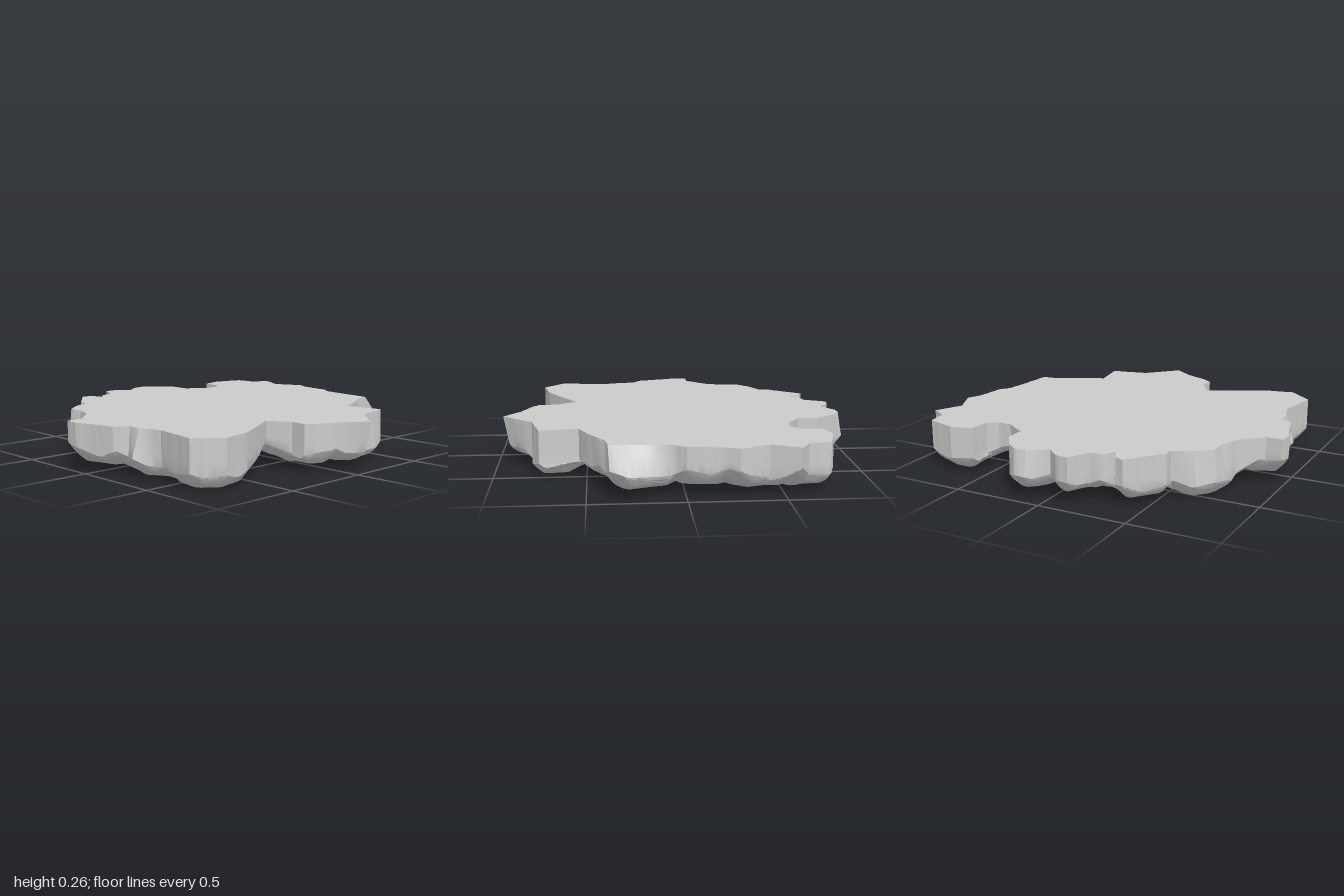
import * as THREE from 'three';
import { mergeVertices, toCreasedNormals } from 'three/addons/utils/BufferGeometryUtils.js';

const TOP = 0.27;

// Outline of the flat top as x, z pairs, clockwise from above
const OUTLINE = [
  -.79, -.7, -.74, -.865, -.62, -.885, -.57, -.975, -.42, -.9, -.26, -.975, -.18, -.94, 0, -.92,
  .05, -.88, .2, -.86, .34, -.85, .39, -.84, .4, -.76, .5, -.58, .54, -.48, .75, -.515,
  .8, -.3, .97, -.14, .88, -.02, .83, .1, .78, .17, .69, .165, .57, .24, .66, .4,
  .74, .55, .78, .73, .66, .865, .4, .82, .28, .86, .2, .86, .15, .93, 0, .97,
  -.08, 1, -.16, .99, -.16, .9, -.28, .78, -.38, .74, -.48, .74, -.55, .66, -.6, .55,
  -.65, .55, -.84, .4, -.82, .35, -.74, .31, -.8, .28, -.82, .2, -.94, .14, -.93, .07,
  -.87, 0, -.94, -.1, -.94, -.17, -.89, -.24, -.79, -.31, -.68, -.31, -.6, -.43, -.6, -.51,
  -.64, -.565, -.76, -.575,
];

// Places where the wall leans below the top: x, z, radius, push in x and z
const FLARES = [
  [.32, -.87, .25, -.01, -.16], [.28, .86, .1, 0, .05], [-.4, .74, .14, -.01, .04],
  [-.94, -.12, .15, -.035, 0], [-.55, .66, .1, -.02, .02], [.78, -.42, .12, .02, -.01],
  [-.8, .3, .1, -.02, 0], [.97, -.14, .2, -.03, 0],
];

// Large rocks under the rim: x, z, lowest height, half width, slope along z
const RIM_ROCKS = [
  [.6, .66, .01, .14, 0], [.32, .72, .02, .1, 0], [0, .84, .055, .1, 0], [-.38, .6, .012, .12, 0],
  [-.65, .4, .035, .1, 0], [-.8, .12, .06, .09, 0], [-.82, -.15, .055, .09, 0],
  [-.66, -.74, .03, .11, -.1], [-.38, -.8, .035, .1, -.12], [-.1, -.78, .05, .1, -.12],
  [.22, -.78, .04, .13, -.12], [.43, -.56, .05, .08, 0], [.7, -.36, .015, .11, 0],
  [.84, -.13, .05, .08, 0], [.7, .06, .045, .09, 0], [-.58, -.3, .06, .08, 0],
];

function seeded(seed) {
  return () => {
    seed = (seed * 16807) % 2147483647;
    return seed / 2147483647;
  };
}

// Outline points, with each edge divided and slightly roughened
function makeRim(rand) {
  const rim = [];
  const n = OUTLINE.length / 2;
  for (let i = 0; i < n; i++) {
    const a = new THREE.Vector2(OUTLINE[2 * i], OUTLINE[2 * i + 1]);
    const j = (i + 1) % n;
    const b = new THREE.Vector2(OUTLINE[2 * j], OUTLINE[2 * j + 1]);
    const steps = Math.max(1, Math.round(a.distanceTo(b) / 0.018));
    for (let s = 0; s < steps; s++) {
      const p = a.clone().lerp(b, s / steps);
      if (s) p.multiplyScalar(1 + (rand() - 0.5) * 0.005);
      rim.push(p);
    }
  }
  return rim;
}

// Point on the middle line of the slab that a rim point shrinks towards
const spine = (p) => new THREE.Vector2(0, 0.8 * THREE.MathUtils.clamp(p.y, -0.8, 0.8));

// Angular stones of the underside: the rim rocks and smaller, higher ones inside
function makeStones(rand) {
  const stones = [];
  const add = (x, z, low, flat, tx, tz) => {
    const turn = rand() * Math.PI;
    const sides = [];
    for (let k = 0; k < 5; k++) {
      const a = turn + (k + rand() * 0.5) * Math.PI * 0.4;
      sides.push([Math.cos(a), Math.sin(a)]);
    }
    stones.push({ x, z, low, flat, sides, tx, tz });
  };
  for (const [x, z, low, flat, tz] of RIM_ROCKS) add(x, z, low, flat, 0, tz);
  for (let x = -0.5; x <= 0.51; x += 0.25)
    for (let z = -0.55; z <= 0.6; z += 0.22)
      add(x + (rand() - 0.5) * 0.16, z + (rand() - 0.5) * 0.14, 0.06 + rand() * 0.035, 0.05,
        (rand() - 0.5) * 0.3, (rand() - 0.5) * 0.3);
  return stones;
}

function undersideHeight(stones, x, z) {
  let y = 0.14;
  for (const s of stones) {
    const dx = x - s.x, dz = z - s.z;
    if (dx * dx + dz * dz > 0.16) continue;
    let d = 0;
    for (const [cx, cz] of s.sides) d = Math.max(d, dx * cx + dz * cz);
    y = Math.min(y, s.low + dx * s.tx + dz * s.tz + 0.5 * Math.max(0, d - s.flat));
  }
  return Math.max(0.004, y);
}

function distanceToLoop(loop, p) {
  let best = Infinity;
  for (const q of loop) best = Math.min(best, q.distanceToSquared(p));
  return Math.sqrt(best);
}

export function createModel() {
  const rand = seeded(77);
  const rim = makeRim(rand);
  const stones = makeStones(rand);
  const count = rim.length;

  // Lower edge of the wall, pushed sideways at the flares
  const lowerRim = rim.map((p) => {
    const q = p.clone();
    for (const [x, z, r, px, pz] of FLARES) {
      const f = Math.max(0, 1 - Math.hypot(p.x - x, p.y - z) / r);
      q.x += px * f;
      q.y += pz * f;
    }
    return q;
  });

  // Underside with the rim rounded upward
  const bottom = (p) => {
    const c = Math.max(0, 0.08 - distanceToLoop(lowerRim, p));
    return undersideHeight(stones, p.x, p.y) + c * c * 8;
  };

  // Rings run down the wall, then inward across the underside
  const rings = [];
  const lowY = lowerRim.map(bottom);
  for (const t of [0, 0.35, 0.7, 1])
    rings.push(rim.map((p, i) => {
      const q = p.clone().lerp(lowerRim[i], t);
      return [q.x, THREE.MathUtils.lerp(TOP, lowY[i], t), q.y];
    }));
  const steps = 56;
  for (let k = 1; k <= steps; k++)
    rings.push(lowerRim.map((p) => {
      const q = p.clone().lerp(spine(p), k / steps);
      return [q.x, bottom(q), q.y];
    }));

  const index = [];
  for (let r = 0; r < rings.length - 1; r++)
    for (let i = 0; i < count; i++) {
      const j = (i + 1) % count;
      const a = r * count + i, b = r * count + j;
      index.push(a, b, a + count, b, b + count, a + count);
    }
  let rock = new THREE.BufferGeometry();
  rock.setAttribute('position', new THREE.Float32BufferAttribute(rings.flat(2), 3));
  rock.setIndex(index);
  rock = toCreasedNormals(mergeVertices(rock, 1e-5), 0.5);

  // Flat top
  const shape = new THREE.Shape(rim.map((p) => new THREE.Vector2(p.x, -p.y)));
  const cap = new THREE.ShapeGeometry(shape).rotateX(-Math.PI / 2).translate(0, TOP, 0);

  const material = new THREE.MeshStandardMaterial({ color: 0xcccccc });
  const group = new THREE.Group();
  group.name = 'rockSlab';
  const add = (geometry, name) => {
    const mesh = new THREE.Mesh(geometry, material);
    mesh.name = name;
    group.add(mesh);
  };
  add(cap, 'flatTop');
  add(rock, 'rockyUnderside');
  return group;
}
